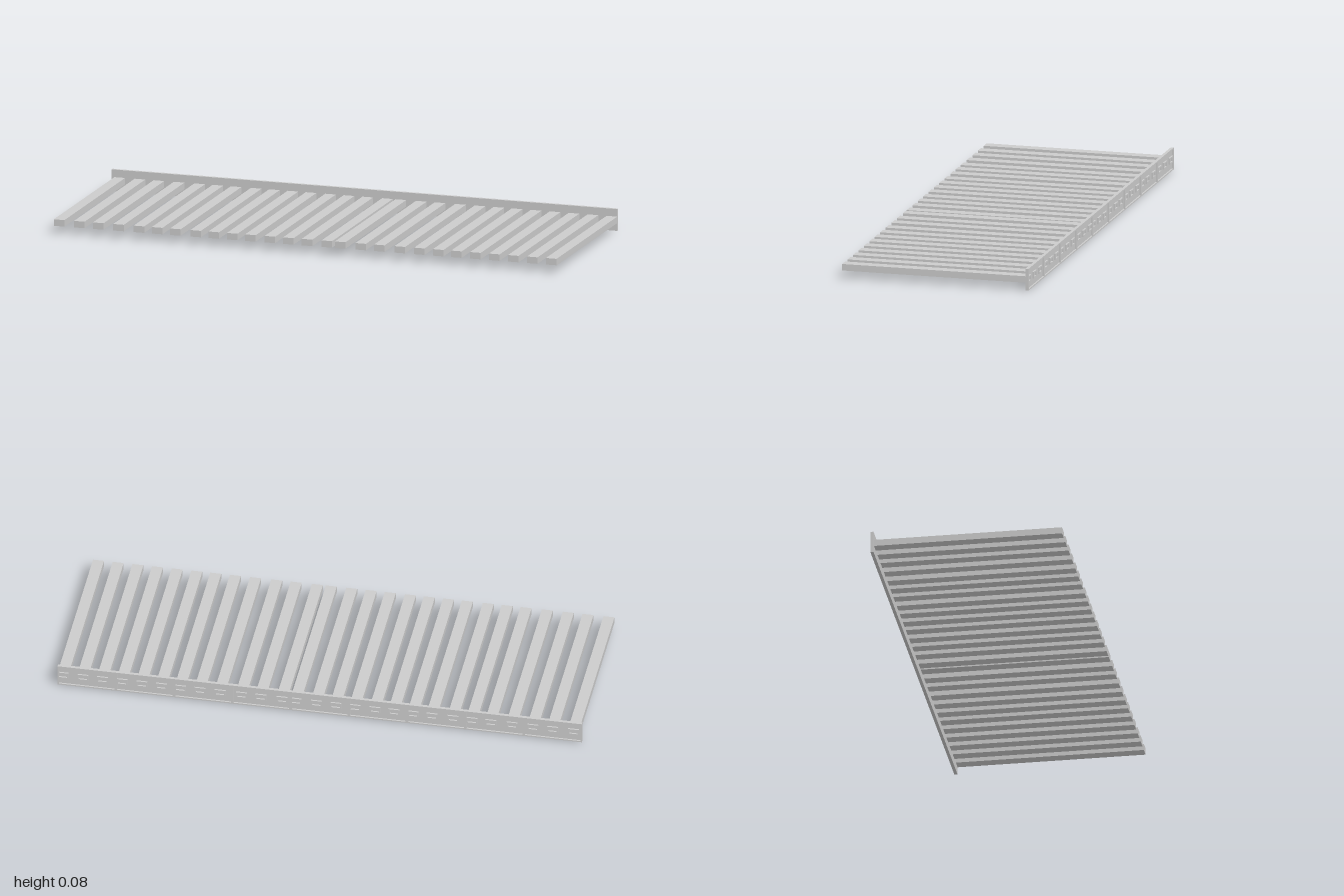
import * as THREE from 'three';

const material = new THREE.MeshStandardMaterial({ color: 0xcccccc, flatShading: true });

function addBox(parent, name, size, position) {
  const mesh = new THREE.Mesh(new THREE.BoxGeometry(...size), material);
  mesh.name = name;
  mesh.position.set(...position);
  parent.add(mesh);
}

// Rectangular ring in the xy plane, extruded forward from z
function addFrame(parent, name, w, h, wall, depth, position) {
  const corners = (a, b) => [[-a, -b], [a, -b], [a, b], [-a, b]].map(p => new THREE.Vector2(...p));
  const shape = new THREE.Shape(corners(w / 2, h / 2));
  shape.holes.push(new THREE.Path(corners(w / 2 - wall, h / 2 - wall).reverse()));
  const mesh = new THREE.Mesh(new THREE.ExtrudeGeometry(shape, { depth, bevelEnabled: false }), material);
  mesh.name = name;
  mesh.position.set(...position);
  parent.add(mesh);
}

export function createModel() {
  const model = new THREE.Group();
  model.name = 'slattedRack';

  const height = 0.084, back = -0.363, front = 0.363, rim = 0.006, plate = 0.006;
  const slatW = 0.042, slatH = 0.025, slatY = 0.0425;

  // Rear rail: nine equal panels, each a thin plate with a shallow rim on its back
  const panels = 9, panelW = 2 / panels;
  const rail = new THREE.Group();
  rail.name = 'rearRail';
  for (let i = 0; i < panels; i++) {
    const x = -1 + (i + 0.5) * panelW;
    addBox(rail, 'railPanel', [panelW, height, plate], [x, height / 2, back + rim + plate / 2]);
    addFrame(rail, 'panelRim', panelW, height, 0.005, rim, [x, height / 2, back]);
  }
  model.add(rail);

  // Slats, slightly uneven in spacing, three to each panel
  const slatX = [
    -0.968, -0.888, -0.813, -0.733, -0.652, -0.58, -0.508, -0.428, -0.356,
    -0.283, -0.211, -0.134, -0.061, 0.013, 0.091, 0.144, 0.225, 0.299,
    0.38, 0.457, 0.532, 0.604, 0.679, 0.754, 0.829, 0.904, 0.979,
  ];
  const start = back + rim + plate;
  const slats = new THREE.Group();
  slats.name = 'slats';
  for (const x of slatX) {
    addBox(slats, 'slat', [slatW, slatH, front - start], [x, slatY, (front + start) / 2]);
    // Raised socket behind the slat
    addFrame(slats, 'slatSocket', slatW, slatH, 0.005, rim, [x, slatY, back]);
  }
  model.add(slats);

  return model;
}
